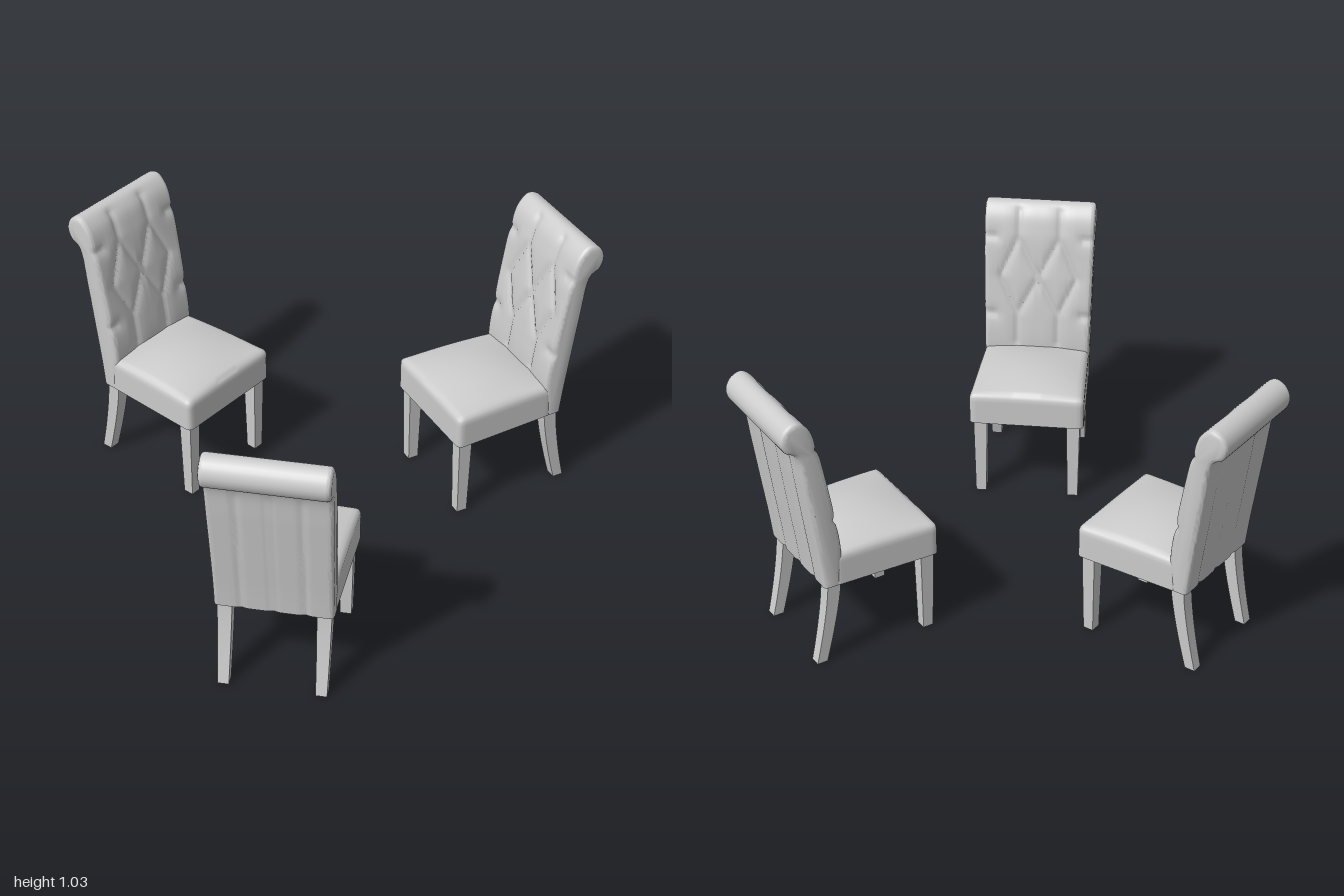
import * as THREE from 'three';
import { mergeVertices, toCreasedNormals } from 'three/addons/utils/BufferGeometryUtils.js';

const material = new THREE.MeshStandardMaterial({ color: 0xcccccc });
const { clamp, lerp, smoothstep, degToRad } = THREE.MathUtils;

// Applies a rule to every vertex of a geometry
function deform(geometry, rule) {
  const pos = geometry.attributes.position;
  const v = new THREE.Vector3();
  for (let i = 0; i < pos.count; i++) {
    v.fromBufferAttribute(pos, i);
    rule(v);
    pos.setXYZ(i, v.x, v.y, v.z);
  }
  return geometry;
}

function smooth(geometry, angle) {
  geometry.deleteAttribute('uv');
  geometry.deleteAttribute('normal');
  return toCreasedNormals(mergeVertices(geometry, 1e-5), angle);
}

// Stitch lines of the diamond tufting, as [x1, y1, x2, y2]
const tufts = [[0, 0.74, 0, 0.74]];
for (const s of [1, -1]) {
  tufts.push(
    [s * 0.08, 1.0, s * 0.08, 0.9], [s * 0.08, 0.9, 0, 0.74], [s * 0.08, 0.9, s * 0.15, 0.74],
    [0, 0.74, s * 0.08, 0.59], [s * 0.15, 0.74, s * 0.08, 0.59], [s * 0.08, 0.59, s * 0.08, 0.47],
    [s * 0.17, 0.9, s * 0.22, 0.9], [s * 0.17, 0.59, s * 0.22, 0.59]);
}
function segmentDistance(x, y, [x1, y1, x2, y2]) {
  const dx = x2 - x1, dy = y2 - y1;
  const lengthSq = Math.max(dx * dx + dy * dy, 1e-9);
  const t = clamp(((x - x1) * dx + (y - y1) * dy) / lengthSq, 0, 1);
  return Math.hypot(x - x1 - t * dx, y - y1 - t * dy);
}
const groove = (d, width) => Math.exp(-((d / width) ** 2));

function frontGroove(x, y) {
  const d = Math.min(...tufts.map((line) => segmentDistance(x, y, line)));
  return 0.007 * groove(d, 0.009) + 0.005 * groove(d, 0.03);
}
function backGroove(x, y) {
  const d = Math.min(Math.abs(x), Math.abs(Math.abs(x) - 0.11));
  return 0.005 * groove(d, 0.012) * smoothstep(0.9 - y, 0, 0.06);
}

// Rolled backrest: one side profile (z, y) carried across the width
function backrestGeometry() {
  const profile = [
    [-0.095, 0.32], [-0.085, 0.45], [-0.103, 0.6], [-0.138, 0.8], [-0.163, 0.92], [-0.19, 0.99],
    [-0.232, 1.025], [-0.275, 1.008], [-0.294, 0.965], [-0.278, 0.92], [-0.245, 0.9],
    [-0.232, 0.87], [-0.215, 0.75], [-0.188, 0.55], [-0.17, 0.42], [-0.158, 0.32]];
  const curve = new THREE.CatmullRomCurve3(
    profile.map(([z, y]) => new THREE.Vector3(0, y, z)), false, 'centripetal');
  const N = 120, M = 56, r = 0.016;
  const pts = curve.getSpacedPoints(N);
  const tangents = pts.map((_, i) => curve.getTangentAt(i / N));
  const count = pts.length;
  const positions = [], index = [];
  for (let j = 0; j <= M; j++) {
    const t = (j / M) * 2 - 1;
    const u = 0.5 * (t + Math.sin(t * Math.PI / 2));
    pts.forEach((p, i) => {
      const half = 0.206 + 0.009 * smoothstep(p.y, 0.35, 1);
      const x = u * half;
      // Rounded side edges
      const e = clamp(half - Math.abs(x), 0, r);
      let inset = r - Math.sqrt(Math.max(0, r * r - (r - e) ** 2));
      // Tufts in front, upright channels behind
      if (i < N * 0.47) inset += frontGroove(x, p.y);
      else if (i > N * 0.6) inset += backGroove(x, p.y);
      positions.push(x, Math.max(0.32, p.y + tangents[i].z * inset), p.z - tangents[i].y * inset);
    });
  }
  for (let j = 0; j < M; j++) {
    for (let i = 0; i < count; i++) {
      const a = j * count + i, b = j * count + (i + 1) % count;
      index.push(a, a + count, b, b, a + count, b + count);
    }
  }
  // Side caps, turned to face outward
  for (const j of [0, M]) {
    const ring = pts.map((_, i) => {
      const o = (j * count + i) * 3;
      return new THREE.Vector2(positions[o + 2], positions[o + 1]);
    });
    for (const f of THREE.ShapeUtils.triangulateShape(ring, [])) {
      const [a, b, c] = f.map((i) => ring[i]);
      const turn = (b.x - a.x) * (c.y - a.y) - (b.y - a.y) * (c.x - a.x);
      const face = (turn > 0) === (j === 0) ? f : [f[0], f[2], f[1]];
      index.push(...face.map((i) => j * count + i));
    }
  }
  const g = new THREE.BufferGeometry();
  g.setAttribute('position', new THREE.Float32BufferAttribute(positions, 3));
  g.setIndex(index);
  return toCreasedNormals(g, 0.9);
}

// Padded seat: soft upper edges, domed top, slightly narrower at the rear
function seatGeometry() {
  const w = 0.222, h = 0.0625, d = 0.205, r = 0.02;
  const g = deform(new THREE.BoxGeometry(w * 2, h * 2, d * 2, 28, 8, 28), (v) => {
    const u = v.x / w, s = v.z / d, up = (v.y + h) / (2 * h);
    const inner = new THREE.Vector3(
      clamp(v.x, r - w, w - r), Math.min(v.y, h - r), clamp(v.z, r - d, d - r));
    const out = v.clone().sub(inner);
    if (out.lengthSq() > 1e-10) v.copy(inner).addScaledVector(out.normalize(), r);
    v.y += up * 0.036 * (1 - u * u * 0.9) * (1 - s * s * 0.9);
    v.x *= 0.96 + 0.04 * s;
  });
  return smooth(g, 1.0).translate(0, 0.32 + h, 0.085);
}

// Square tapering leg whose foot sweeps along z by the given amount
function legGeometry(top, foot, sweep) {
  const height = 0.33;
  const g = deform(new THREE.BoxGeometry(1, height, 1, 1, 12, 1), (v) => {
    const t = clamp(0.5 - v.y / height, 0, 1);
    const size = lerp(top, foot, t);
    v.set(v.x * size, (1 - t) * height, v.z * size + sweep * t ** 1.4);
  });
  return smooth(g, 0.6);
}

function makeChair(geo) {
  const chair = new THREE.Group();
  chair.name = 'chair';
  const add = (name, x = 0, z = 0) => {
    const mesh = new THREE.Mesh(geo[name], material);
    mesh.name = name;
    mesh.position.set(x, 0, z);
    chair.add(mesh);
  };
  add('backrest');
  add('seat');
  for (const s of [1, -1]) {
    add('frontLeg', s * 0.18, 0.25);
    add('backLeg', s * 0.17, -0.118);
  }
  return chair;
}

export function createModel() {
  const model = new THREE.Group();
  model.name = 'diningChairs';
  const geo = {
    backrest: backrestGeometry(),
    seat: seatGeometry(),
    frontLeg: legGeometry(0.052, 0.04, 0),
    backLeg: legGeometry(0.052, 0.04, -0.06),
  };
  // Three chairs facing one another: x, z, heading in degrees
  for (const [x, z, heading] of [[-0.59, 0.148, 97.8], [0.32, -0.66, -14.5], [0.568, 0.63, -143.1]]) {
    const chair = makeChair(geo);
    chair.position.set(x, 0, z);
    chair.rotation.y = degToRad(heading);
    model.add(chair);
  }
  return model;
}
